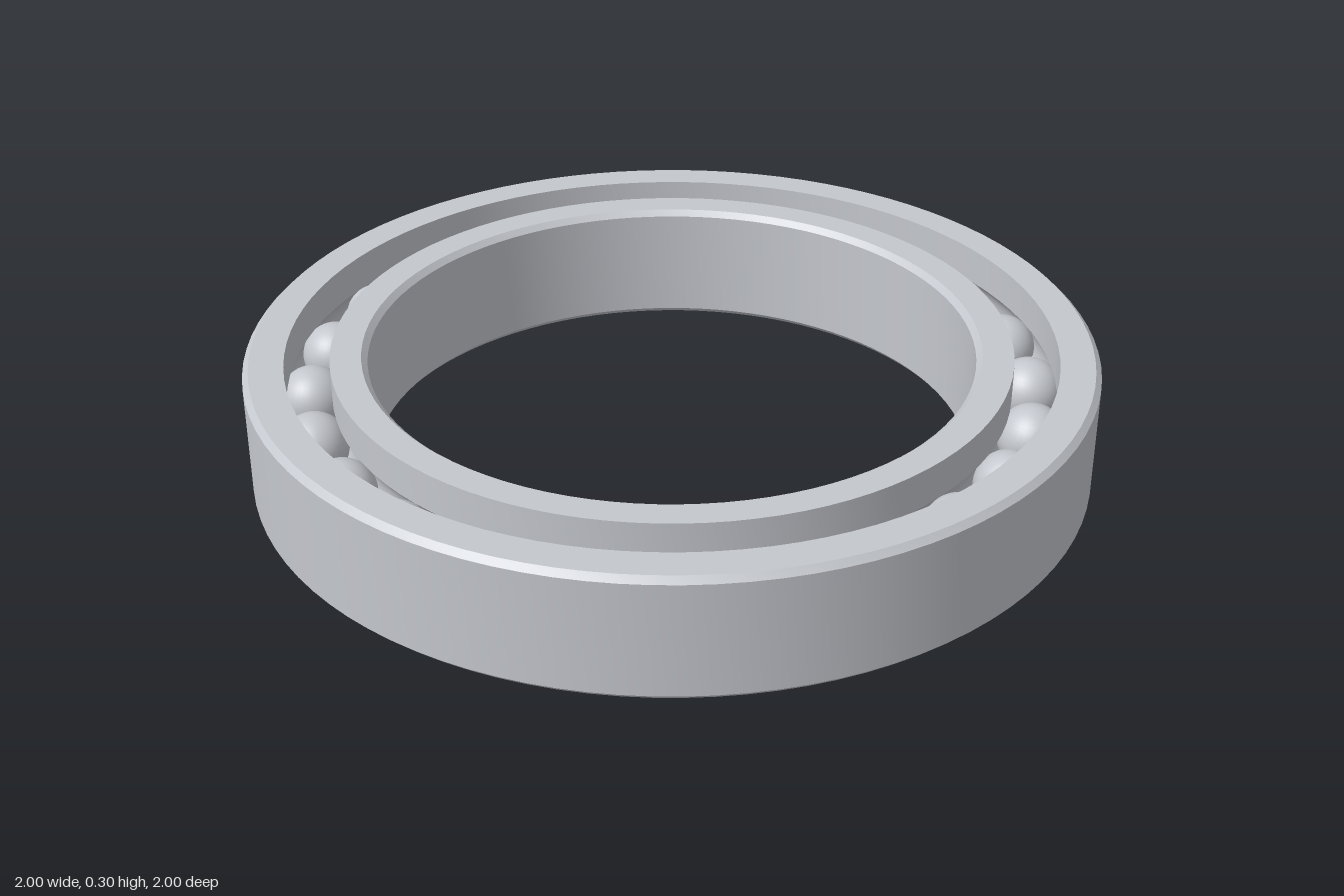
import * as THREE from 'three';
import { toCreasedNormals } from 'three/addons/utils/BufferGeometryUtils.js';

const HEIGHT = 0.3, MID = HEIGHT / 2;
const PITCH = 0.854, BALL_R = 0.08, BALLS = 24;
const BORE = 0.713, INNER_WALL = 0.8, OUTER_WALL = 0.905, OUTSIDE = 1;
const CHAMFER = 0.014;

// Arc of the ball groove, in (radius, height)
function groove(from, to, steps = 10) {
  return Array.from({ length: steps + 1 }, (_, i) => {
    const a = from + (to - from) * i / steps;
    return [PITCH + Math.cos(a) * BALL_R, MID + Math.sin(a) * BALL_R];
  });
}

export function createModel() {
  const group = new THREE.Group();
  const steel = new THREE.MeshStandardMaterial({ color: 0xc4c7cd });
  steel.name = 'steel';

  const addRing = (name, profile) => {
    const points = [...profile, profile[0]].map(([r, y]) => new THREE.Vector2(r, y));
    const mesh = new THREE.Mesh(toCreasedNormals(new THREE.LatheGeometry(points, 96), 0.5), steel);
    mesh.name = name;
    group.add(mesh);
  };

  // Inner race: chamfered bore, groove on its outer wall
  const a = Math.acos((PITCH - INNER_WALL) / BALL_R);
  addRing('innerRace', [
    [BORE + CHAMFER, 0], [INNER_WALL, 0],
    ...groove(Math.PI + a, Math.PI - a),
    [INNER_WALL, HEIGHT], [BORE + CHAMFER, HEIGHT],
    [BORE, HEIGHT - CHAMFER], [BORE, CHAMFER],
  ]);

  // Outer race: chamfered outside, groove on its inner wall
  const b = Math.acos((OUTER_WALL - PITCH) / BALL_R);
  addRing('outerRace', [
    [OUTER_WALL, 0], [OUTSIDE - CHAMFER, 0],
    [OUTSIDE, CHAMFER], [OUTSIDE, HEIGHT - CHAMFER],
    [OUTSIDE - CHAMFER, HEIGHT], [OUTER_WALL, HEIGHT],
    ...groove(b, -b),
  ]);

  // Balls, evenly spaced on the pitch circle
  const balls = new THREE.Group();
  balls.name = 'balls';
  const ballGeometry = new THREE.SphereGeometry(BALL_R, 32, 20);
  for (let i = 0; i < BALLS; i++) {
    const t = i / BALLS * Math.PI * 2;
    const ball = new THREE.Mesh(ballGeometry, steel);
    ball.name = 'ball';
    ball.position.set(Math.cos(t) * PITCH, MID, Math.sin(t) * PITCH);
    balls.add(ball);
  }
  group.add(balls);
  return group;
}
